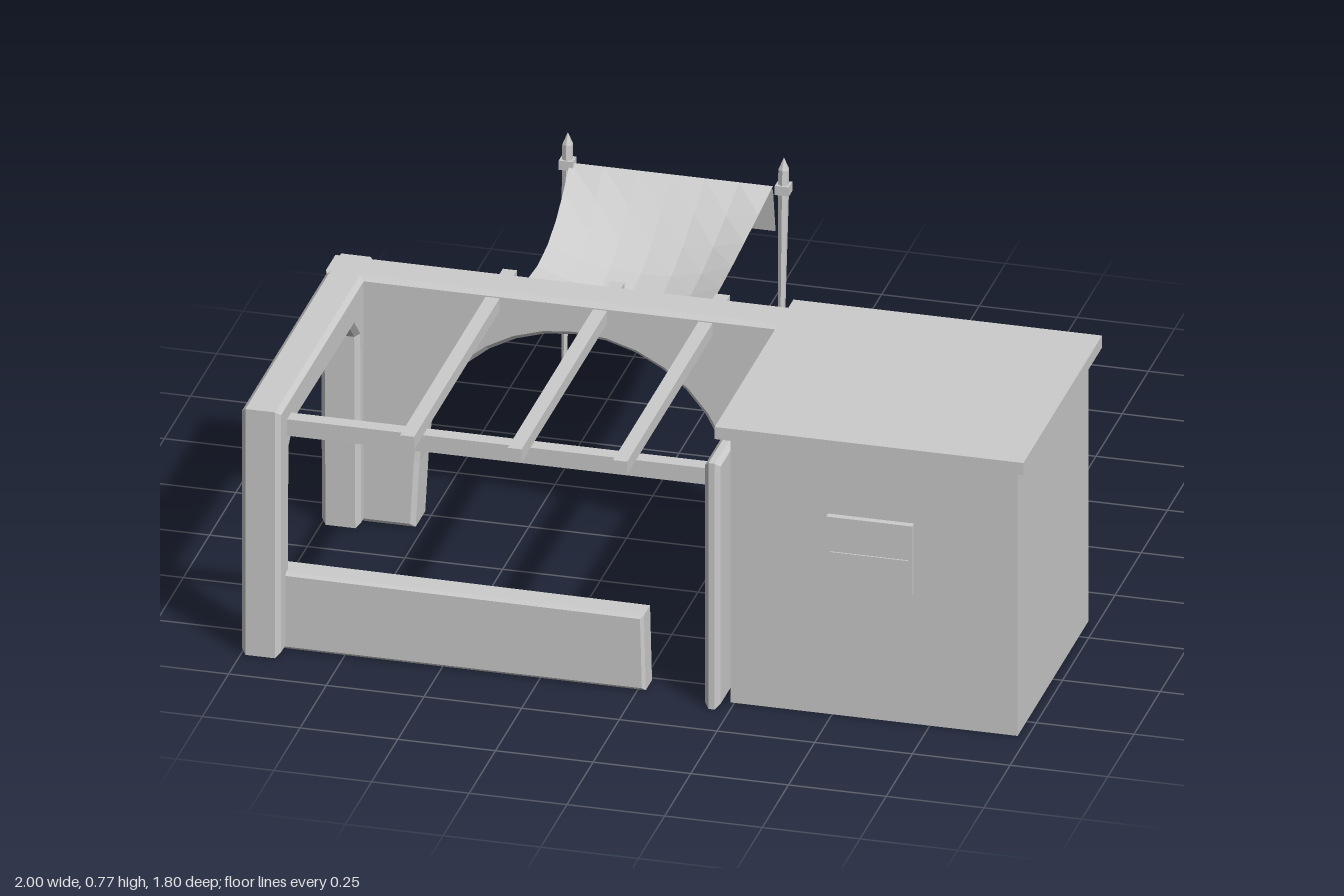
import * as THREE from 'three';

const mat = new THREE.MeshStandardMaterial({ color: 0xcccccc, flatShading: true });
const clothMat = new THREE.MeshStandardMaterial({ color: 0xcccccc, flatShading: true, side: THREE.DoubleSide });

export function createModel() {
  const model = new THREE.Group();

  const add = (name, geometry, material = mat) => {
    const mesh = new THREE.Mesh(geometry, material);
    mesh.name = name;
    model.add(mesh);
    return mesh;
  };

  // Box given by its lower and upper limits on each axis
  const box = (name, [x0, x1], [y0, y1], [z0, z1]) =>
    add(name, new THREE.BoxGeometry(x1 - x0, y1 - y0, z1 - z0)
      .translate((x0 + x1) / 2, (y0 + y1) / 2, (z0 + z1) / 2));

  // Slab extruded from z0 to z1 with small chamfered edges
  const slab = (shape, z0, z1, bevel = 0.012) => new THREE.ExtrudeGeometry(shape, {
    depth: z1 - z0 - 2 * bevel, bevelEnabled: bevel > 0, bevelThickness: bevel,
    bevelSize: bevel, bevelOffset: -bevel, bevelSegments: 1, curveSegments: 8,
  }).translate(0, 0, z0 + bevel);

  const outline = (points) => new THREE.Shape(points.map(([x, y]) => new THREE.Vector2(x, y)));

  // Rear wall with a round arch
  const arch = new THREE.Shape();
  arch.moveTo(-1, 0);
  arch.lineTo(-0.77, 0);
  arch.lineTo(-0.76, 0.18);
  arch.absarc(-0.36, 0.18, 0.4, Math.PI, 0, true);
  arch.lineTo(0.045, 0);
  arch.lineTo(0.225, 0);
  arch.lineTo(0.225, 0.675);
  arch.lineTo(-1, 0.675);
  arch.closePath();
  add('archWall', slab(arch, -0.03, 0.085));

  // Side wall with a wide opening, drawn in z and y, then turned along z
  const side = outline([[-0.03, 0], [0.12, 0], [0.13, 0.53], [0.18, 0.58], [0.74, 0.585],
    [0.79, 0.54], [0.8, 0], [0.885, 0], [0.885, 0.675], [-0.03, 0.675]]);
  add('sideWall', slab(side, 0.9, 1).rotateY(-Math.PI / 2));

  // Wall between the yard and the house
  const divider = outline([[-0.03, 0], [0.885, 0], [0.885, 0.675], [-0.03, 0.675]]);
  add('dividingWall', slab(divider, -0.225, -0.185).rotateY(-Math.PI / 2));

  // Low front wall
  const low = outline([[-0.92, 0], [0.02, 0], [0.015, 0.205], [-0.92, 0.21]]);
  add('lowFrontWall', slab(low, 0.755, 0.83, 0.008));

  // Pergola beams
  box('frontBeam', [-0.92, 0.2], [0.58, 0.625], [0.775, 0.815]);
  for (const x of [-0.57, -0.295, -0.025]) {
    box('crossBeam', [x - 0.018, x + 0.018], [0.625, 0.66], [-0.08, 0.9]);
  }

  // House body, rear face with a door recess, and roof
  box('houseBody', [0.24, 0.975], [0, 0.738], [0.19, 0.835]);
  const facade = outline([[0.24, 0], [0.47, 0], [0.47, 0.54], [0.73, 0.54], [0.73, 0],
    [0.975, 0], [0.975, 0.738], [0.24, 0.738]]);
  add('houseRearFace', slab(facade, 0.16, 0.19, 0));
  box('roof', [0.21, 1], [0.737, 0.77], [0.123, 0.873]);
  for (let i = 0; i < 5; i++) {
    const x = 0.37 + i * 0.125;
    box('roofBeamEnd', [x - 0.016, x + 0.016], [0.668, 0.7], [0.125, 0.165]);
  }

  // Door and knob
  box('door', [0.482, 0.718], [0.01, 0.528], [0.173, 0.192]);
  add('doorKnob', new THREE.IcosahedronGeometry(0.012, 0)).position.set(0.51, 0.27, 0.165);

  // Window shutter on the front
  box('windowPanel', [0.49, 0.71], [0.36, 0.55], [0.83, 0.853]);
  box('windowSlat', [0.5, 0.7], [0.45, 0.456], [0.85, 0.857]);

  // Sagging awning: along t it dips, across s it bellies and narrows
  const cloth = new THREE.PlaneGeometry(1, 1, 6, 8);
  const p = cloth.attributes.position;
  for (let i = 0; i < p.count; i++) {
    const s = p.getX(i) * 2, t = 0.5 - p.getY(i);
    const dip = Math.sin(Math.PI * t), belly = 1 - s * s;
    const half = 0.26 - 0.03 * dip;
    p.setXYZ(i,
      -0.362 + s * half + 0.01 * (1 - t) * s,
      0.565 + 0.025 * t - 0.08 * dip - 0.055 * belly * dip - 0.012 * belly * (1 - t),
      -0.035 - 0.81 * t - 0.03 * belly * (1 - t));
  }
  // Plane rows run away from the wall, so the visible side is kept on both faces
  add('awningCloth', cloth, clothMat);

  // Hanging edge of the awning
  const edge = [[0.59, -0.845], [0.565, -0.875], [0.44, -0.9]];
  const flap = new THREE.PlaneGeometry(0.5, 1, 3, 2);
  const f = flap.attributes.position;
  for (let i = 0; i < f.count; i++) {
    const [y, z] = edge[Math.floor(i / 4)];
    f.setXYZ(i, f.getX(i) - 0.36, y, z);
  }
  add('awningFlap', flap, clothMat);

  // Leaning poles, thin at the foot and pointed at the top, with rope knots
  for (const x of [-0.628, -0.075]) {
    const profile = [[0, 0], [0.006, 0], [0.014, 0.56], [0.014, 0.64], [0, 0.672]];
    const pole = add('awningPole', new THREE.LatheGeometry(profile.map(([r, y]) => new THREE.Vector2(r, y)), 6));
    pole.position.set(x, 0, -0.812);
    pole.rotation.x = -0.055;
    box('poleKnot', [x - 0.018, x + 0.018], [0.575, 0.6], [-0.862, -0.828]);
  }

  // Ties from the cloth to the wall
  for (const x of [-0.615, -0.105]) {
    box('awningTie', [x - 0.012, x + 0.012], [0.553, 0.577], [-0.045, -0.025]);
  }
  return model;
}
